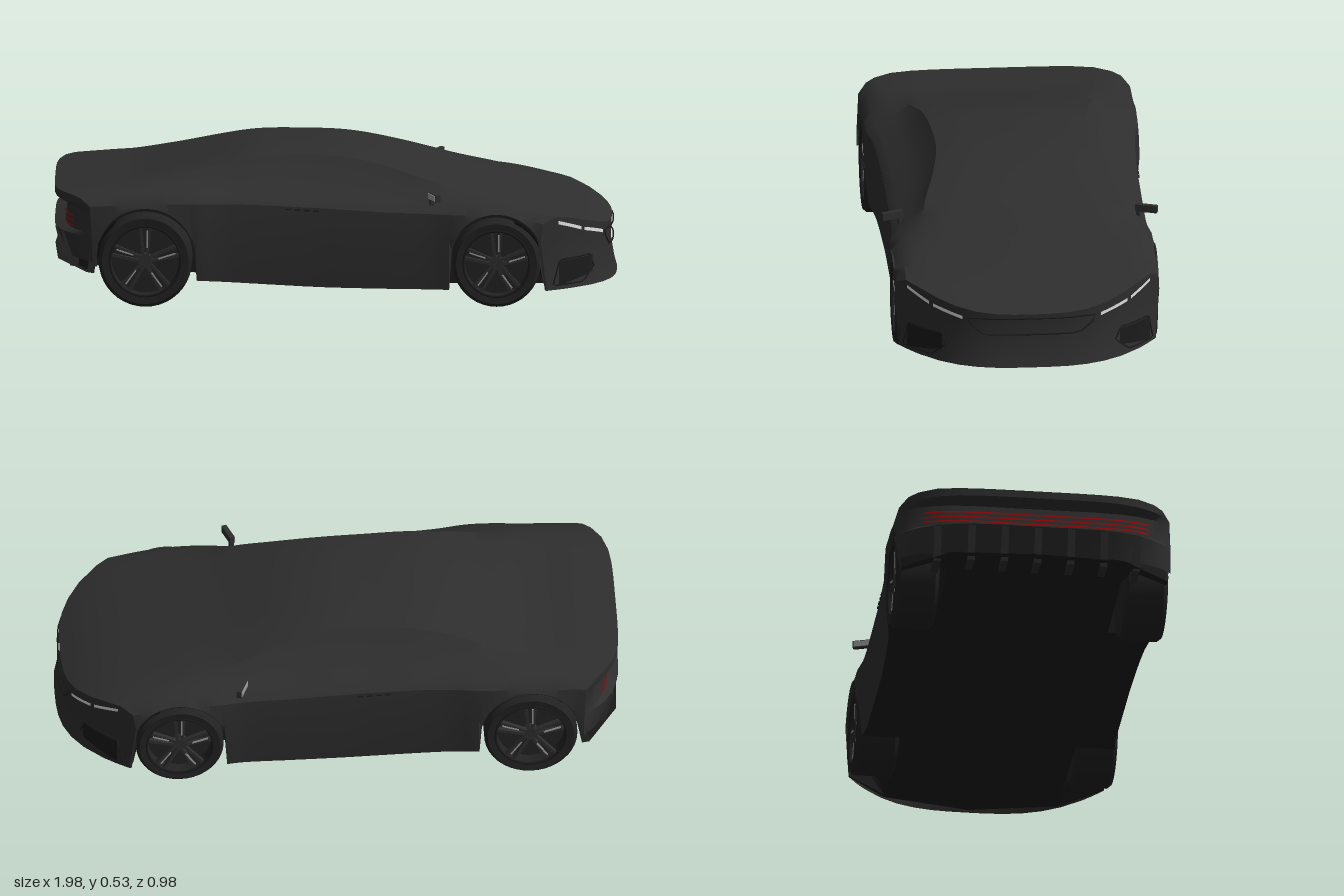
import * as THREE from 'three';
import { toCreasedNormals } from 'three/addons/utils/BufferGeometryUtils.js';

const mat = (name, color) => {
  const m = new THREE.MeshStandardMaterial({ color, side: THREE.DoubleSide });
  m.name = name;
  return m;
};

// Body tables: x, roof centre, shoulder, glass base and roof edge heights
const HEIGHTS = [
  [-1, .39, .375, .385, .39], [-.85, .408, .39, .4, .407], [-.7, .424, .395, .412, .423],
  [-.55, .46, .4, .415, .45], [-.3, .518, .395, .412, .502], [-.1, .526, .385, .405, .51],
  [.05, .52, .376, .4, .503], [.2, .492, .367, .39, .472], [.4, .432, .36, .378, .415],
  [.6, .38, .354, .364, .372], [.8, .326, .315, .32, .324], [.9, .29, .284, .287, .289],
  [1, .243, .238, .24, .242]];
// x, half width, glass base z, roof edge z
const WIDTHS = [
  [-1, .487, .42, .36], [-.7, .487, .4, .35], [-.5, .487, .383, .325], [-.35, .468, .372, .295],
  [-.1, .457, .362, .272], [.05, .456, .361, .272], [.2, .456, .366, .297], [.35, .457, .38, .335],
  [.45, .468, .39, .34], [.7, .468, .4, .34], [1, .468, .4, .33]];
// x, floor height
const FLOOR = [[-1, .15], [-.82, .118], [-.5, .096], [-.2, .076], [0, .066], [.4, .06], [1, .06]];
const WHEELS = [
  { name: 'front', x: .58, r: .155, arch: .166, z: .388 },
  { name: 'rear', x: -.66, r: .165, arch: .177, z: .407 }];
const FRONT = .98, REAR = -.985;

// Smooth interpolation of one table column
function look(table, col, x) {
  const n = table.length - 1;
  const slope = i => {
    const a = table[Math.max(i - 1, 0)], b = table[Math.min(i + 1, n)];
    return (b[col] - a[col]) / (b[0] - a[0]);
  };
  let i = 0;
  while (i < n - 1 && x > table[i + 1][0]) i++;
  const [p, q] = [table[i], table[i + 1]], h = q[0] - p[0];
  const t = THREE.MathUtils.clamp((x - p[0]) / h, 0, 1), u = 1 - t;
  return p[col] * u * u * (1 + 2 * t) + q[col] * t * t * (3 - 2 * t)
    + h * (slope(i) * t * u * u - slope(i + 1) * t * t * u);
}

// Plan curvature of the nose and tail
const noseX = z => FRONT - 2.38 * Math.abs(z) ** 3;
const tailX = (z, inset = 0) => REAR + 5 * Math.abs(z) ** 5 + inset * (1 - (Math.abs(z) / .49) ** 4);
function bow(s, z) {
  if (s > .42) return s + (noseX(z) - FRONT) * (s - .42) / (FRONT - .42);
  if (s < -.42) return s + (tailX(z) - REAR) * (s + .42) / (REAR + .42);
  return s;
}

function archY(x) {
  let y = look(FLOOR, 1, x);
  for (const w of WHEELS) {
    const d = Math.abs(x - w.x);
    if (d < w.arch) y = Math.max(y, w.r + Math.sqrt(w.arch ** 2 - d * d));
  }
  return y;
}

// Half cross-section from floor centre, round the side, to roof centre, then mirrored
function section(s) {
  const [w, gz, rz] = [1, 2, 3].map(c => look(WIDTHS, c, s));
  const pts = [], put = (z, yOf) => {
    const x = bow(s, z);
    pts.push([x, yOf(x), z]);
  };
  put(0, x => look(FLOOR, 1, x));
  put(.31, x => look(FLOOR, 1, x));
  put(.31, archY);
  put(w - .014, archY);
  put(w, x => Math.max(.24, archY(x) + .012));
  put(w - .006, x => Math.max(.24, look(HEIGHTS, 2, x) - .03));
  put(w - .035, x => look(HEIGHTS, 2, x));
  put(gz, x => look(HEIGHTS, 3, x));
  for (let k = 0; k <= 5; k++) {
    const t = 1 - k / 5;
    put(rz * t, x => look(HEIGHTS, 4, x) + (look(HEIGHTS, 1, x) - look(HEIGHTS, 4, x)) * (1 - t ** 3));
  }
  return [...pts, ...pts.slice(0, -1).reverse().map(([x, y, z]) => [x, y, -z])];
}

// Surface through rows of points
function grid(rows, crease = .6) {
  const n = rows[0].length, idx = [];
  for (let i = 0; i < rows.length - 1; i++) for (let j = 0; j < n - 1; j++) {
    const a = i * n + j, b = a + n;
    idx.push(a, b, a + 1, b, b + 1, a + 1);
  }
  const g = new THREE.BufferGeometry();
  g.setAttribute('position', new THREE.Float32BufferAttribute(rows.flat(2), 3));
  g.setIndex(idx);
  return toCreasedNormals(g, crease);
}

export function createModel() {
  const car = new THREE.Group();
  const paint = mat('body black', 0x2e2e2e), dark = mat('trim black', 0x1b1b1b);
  const rubber = mat('tyre black', 0x222222), silver = mat('silver', 0x9a9a9a);
  const white = mat('lamp white', 0xe0e0e0), red = mat('lamp red', 0xa80808);
  const add = (name, geo, m, parent = car) => {
    const mesh = new THREE.Mesh(geo, m);
    mesh.name = name;
    parent.add(mesh);
    return mesh;
  };

  // Body shell and underside
  const N = 180, rings = [];
  for (let i = 0; i <= N; i++) rings.push(section(REAR + (FRONT - REAR) * i / N));
  add('bodyShell', grid(rings.map(r => r.slice(3, -3))), paint);
  add('underbodyLeft', grid(rings.map(r => r.slice(0, 4))), dark);
  add('underbodyRight', grid(rings.map(r => r.slice(-4))), dark);

  // Nose and tail faces hang from the end sections
  const edge = r => r.slice(4, -4).reverse();
  const noseTop = edge(rings[N]), tailTop = edge(rings[0]);
  const noseRows = [[0, .018], [.18, .008], [.55, -.004], [.85, -.002], [1, 0]];
  add('noseFace', grid(noseRows.map(([t, dx]) =>
    noseTop.map(([x, y, z]) => [x + dx, .058 + (y - .058) * t, z * (.97 + .03 * t)]))), paint);
  const tailRows = [[0, 1], [0, .365], [.05, .345], [.04, .268], [0, .255], [.045, .165]];
  add('tailFace', grid(tailRows.map(([dx, h]) =>
    tailTop.map(([, y, z]) => [tailX(z, dx), Math.min(y, h), z]))), paint);

  // Thin strip following the nose or tail between two heights
  const strip = (z0, z1, lo, hi, xOf, n = 10) => {
    const cols = Array.from({ length: n + 1 }, (_, i) => i / n);
    const row = f => cols.map(t => {
      const z = z0 + (z1 - z0) * t;
      return [xOf(z), f(t), z];
    });
    return grid([row(lo), row(hi)]);
  };
  const onNose = z => noseX(z) + .007;
  const noseLine = (name, pts) => {
    const path = new THREE.CurvePath(), v = [];
    pts.forEach(([z, y], i) => {
      const [z2, y2] = pts[(i + 1) % pts.length];
      for (let k = 0; k < 6; k++) {
        const zz = z + (z2 - z) * k / 6;
        v.push(new THREE.Vector3(onNose(zz) - .002, y + (y2 - y) * k / 6, zz));
      }
    });
    v.forEach((p, i) => path.add(new THREE.LineCurve3(p, v[(i + 1) % v.length])));
    add(name, new THREE.TubeGeometry(path, v.length, .0028, 5, true), dark);
  };

  // Grille outline
  noseLine('grilleOutline', [[-.225, .238], [.225, .238], [.225, .222], [.17, .178], [-.17, .178], [-.225, .222]]);

  for (const side of [1, -1]) {
    // Headlight strips in two pieces
    for (const [a, b, ya, yb] of [[.245, .345, .236, .262], [.357, .43, .266, .298]])
      add('headlight', strip(side * a, side * b, t => ya + (yb - ya) * t - .005,
        t => ya + (yb - ya) * t + .007, onNose), white);
    // Corner air intakes
    add('airIntake', strip(side * .315, side * .43, t => .105 - .03 * t, t => .165 - .004 * t,
      z => noseX(z) + .01), dark);
    noseLine('intakeFrame', [[.30, .125], [.32, .168], [.425, .165], [.442, .075], [.35, .075]]
      .map(([z, y]) => [side * z, y]));

    // Door mirror
    const mirror = new THREE.Group();
    mirror.name = 'doorMirror';
    mirror.position.set(.36, .392, side * .45);
    mirror.rotation.y = side * .35;
    add('mirrorHousing', new THREE.BoxGeometry(.018, .026, .078), paint, mirror);
    add('mirrorGlass', new THREE.BoxGeometry(.003, .02, .07), silver, mirror).position.x = -.0105;
    add('mirrorStalk', new THREE.BoxGeometry(.014, .03, .014), paint, mirror).position.set(0, -.02, side * -.03);
    car.add(mirror);

    // Door handle
    for (let k = 0; k < 4; k++)
      add('doorHandle', new THREE.BoxGeometry(.02, .005, .008), dark)
        .position.set(-.155 + k * .032, .348 - k * .002, side * .452);

    // Wheels
    for (const w of WHEELS) {
      const wheel = new THREE.Group();
      wheel.name = w.name + 'Wheel';
      wheel.position.set(w.x, w.r, side * w.z);
      if (side < 0) wheel.rotation.y = Math.PI;
      const rim = w.r * .76;
      const prof = [[.02, -.076], [w.r - .012, -.076], [w.r, -.062], [w.r, .062], [w.r - .012, .076],
        [rim, .073], [rim - .006, .03], [.001, .03]].map(p => new THREE.Vector2(...p));
      add('tyre', toCreasedNormals(new THREE.LatheGeometry(prof, 40).rotateX(Math.PI / 2), .5), rubber, wheel);
      add('rimRing', new THREE.TorusGeometry(rim, .005, 6, 40), dark, wheel).position.z = .071;
      add('hub', new THREE.CylinderGeometry(.022, .026, .03, 16).rotateX(Math.PI / 2), paint, wheel).position.z = .05;
      for (let k = 0; k < 5; k++) {
        const arm = new THREE.Group();
        arm.name = 'spoke';
        arm.rotation.z = k * Math.PI * .4;
        for (const e of [1, -1]) {
          const bar = add('spokeBar', new THREE.BoxGeometry(.011, rim - .02, .016), paint, arm);
          bar.position.set(e * .012, rim / 2 + .008, .058);
          bar.rotation.z = -e * .1;
        }
        add('spokeAccent', new THREE.BoxGeometry(.005, rim * .5, .004), silver, arm).position.set(.007, rim * .62, .066);
        wheel.add(arm);
      }
      car.add(wheel);
    }
  }

  // Tail light lines in the recess
  for (const y of [.28, .297, .315])
    add('tailLight', strip(.4, -.4, () => y - .003, () => y + .003, z => tailX(z, .042) - .006, 24), red);

  // Diffuser fins
  const fin = new THREE.Shape([[-.985, .25], [-.955, .128], [-.86, .125], [-.86, .25]]
    .map(p => new THREE.Vector2(...p)));
  for (let k = -3; k <= 3; k++) {
    const z = k * .118;
    add('diffuserFin', new THREE.ExtrudeGeometry(fin, { depth: .026, bevelEnabled: false }), paint)
      .position.set(tailX(z) - REAR, 0, z - .013);
  }
  return car;
}
